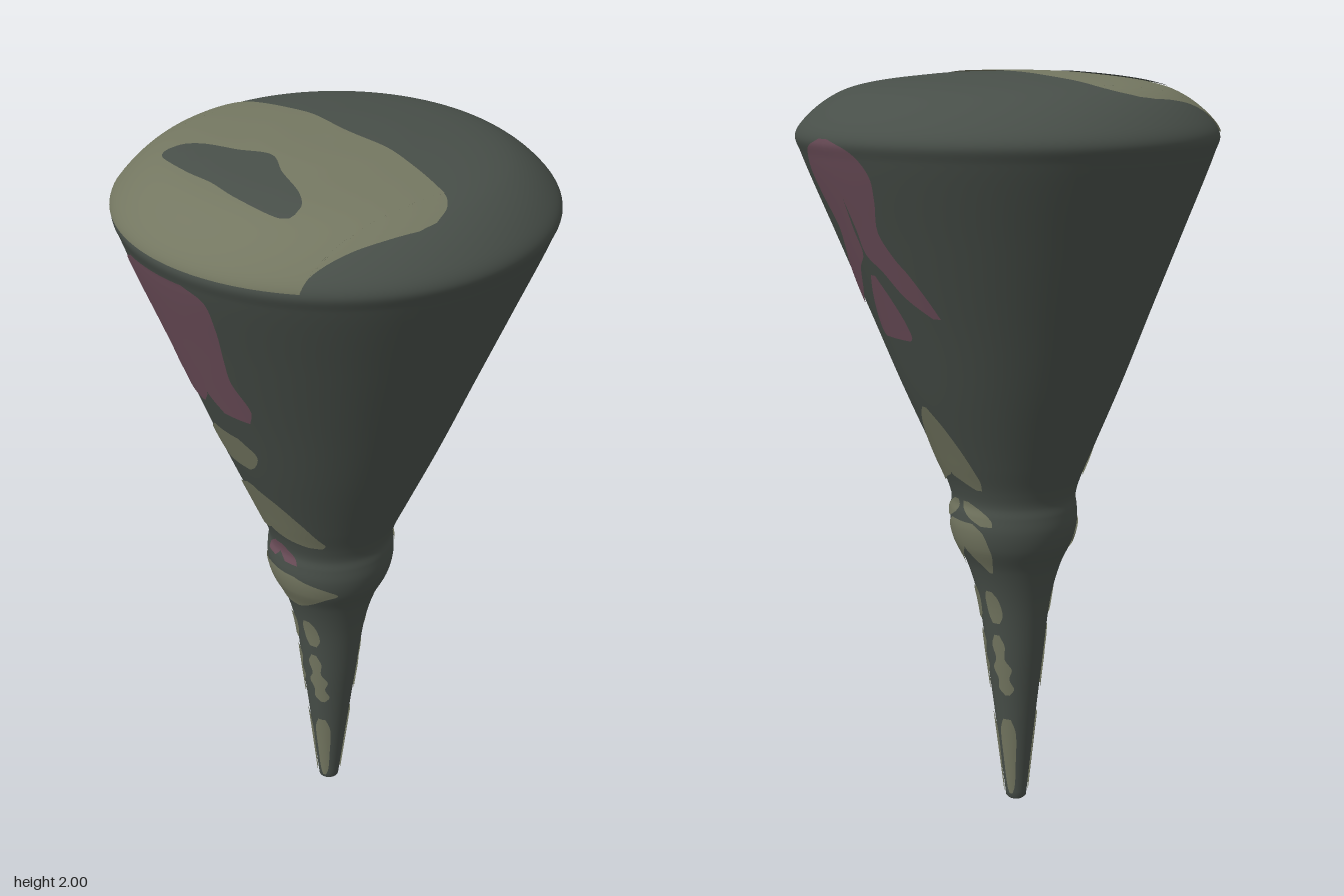
import * as THREE from 'three';

const mat = (name, color, side = THREE.FrontSide) => {
  const m = new THREE.MeshStandardMaterial({ color, side });
  m.name = name;
  return m;
};

// Smoothed profile: radius, height
const spline = (pts) => new THREE.CatmullRomCurve3(pts.map(([x, y, z = 0]) => new THREE.Vector3(x, y, z)));
const profile = spline([
  [0.028, 0.006], [0.05, 0.2], [0.074, 0.4], [0.1, 0.6], [0.128, 0.7], [0.16, 0.77], [0.171, 0.82],
  [0.17, 0.86], [0.167, 0.89], [0.177, 0.93], [0.21, 1.01], [0.29, 1.2], [0.368, 1.4], [0.447, 1.6],
  [0.525, 1.8], [0.538, 1.845], [0.505, 1.893], [0.41, 1.955], [0.19, 1.992], [0, 2],
]).getPoints(200);
const rim = profile.reduce((best, p, i) => (p.x > profile[best].x ? i : best), 0);
const wallPoints = profile.slice(0, rim + 1);
const capPoints = profile.slice(rim).reverse();

function lookup(points, from, to, v) {
  let i = 1;
  while (i < points.length - 1 && points[i][from] < v) i++;
  const a = points[i - 1], b = points[i];
  const t = THREE.MathUtils.clamp((v - a[from]) / (b[from] - a[from]), 0, 1);
  return a[to] + (b[to] - a[to]) * t;
}
const radiusAt = (y) => lookup(wallPoints, 'y', 'x', y);
const capHeight = (r) => lookup(capPoints, 'x', 'y', r);
// The tip leans slightly to one side
const centreAt = (y) => (y < 0.9 ? -0.03 + 0.011 * y : Math.min(0, -0.02 * (1.85 - y) / 0.95));

// Grid skin stretched between two edges; each row is [position, edge, edge]
function skin(rows, place, steps = 40, cols = 24) {
  const pos = [], index = [];
  spline(rows).getPoints(steps).forEach((row, i) => {
    for (let j = 0; j <= cols; j++) {
      pos.push(...place(row, j / cols));
      if (i < steps && j < cols) {
        const a = i * (cols + 1) + j, b = a + cols + 1;
        index.push(a, b, a + 1, b, b + 1, a + 1);
      }
    }
  });
  const g = new THREE.BufferGeometry();
  g.setAttribute('position', new THREE.Float32BufferAttribute(pos, 3));
  g.setIndex(index);
  g.computeVertexNormals();
  return g;
}

// Marking on the cone wall: rows are [height, inner z, outer z]
const wallMark = (rows, side, mirror) => skin(rows, (row, t) => {
  const r = radiusAt(row.x) + 0.004;
  const z = THREE.MathUtils.clamp(row.y + (row.z - row.y) * t, -r, r);
  return [centreAt(row.x) + side * Math.sqrt(r * r - z * z), row.x, z * mirror];
}, 40, 10);

// Marking on the cap: rows are [z, x start, x end], clipped to the rim
const capMark = (rows, lift) => skin(rows, (row, t) => {
  const z = row.x, edge = Math.sqrt(Math.max(0, 0.5375 ** 2 - z * z));
  const x0 = Math.max(row.y, -edge);
  const x = x0 + (row.z - x0) * (1 - Math.cos(t * Math.PI / 2));
  return [x * 1.005, capHeight(Math.hypot(x, z)) + lift, z * 1.005];
}, 100, 48);
const bothWays = (half) => [...half.map(([z, a, b]) => [-z, a, b]), ...half.slice(0, -1).reverse()];

export function createModel() {
  const dark = mat('dark slate green', 0x484f49);
  const darkMark = mat('dark slate green marking', 0x484f49, THREE.DoubleSide);
  const khaki = mat('dull khaki', 0x747761, THREE.DoubleSide);
  const pink = mat('dusky mauve', 0x6f505c, THREE.DoubleSide);
  const model = new THREE.Group();
  model.name = 'taperedCone';
  const add = (name, geometry, material) => {
    const mesh = new THREE.Mesh(geometry, material);
    mesh.name = name;
    model.add(mesh);
  };

  // Body: lathe with closed tip and domed cap
  const outline = [new THREE.Vector2(0, 0), new THREE.Vector2(0.022, 0), ...profile.map((p) => new THREE.Vector2(Math.max(0, p.x), p.y))];
  const body = new THREE.LatheGeometry(outline, 96);
  const p = body.attributes.position;
  for (let i = 0; i < p.count; i++) p.setX(i, p.getX(i) + centreAt(p.getY(i)));
  add('coneBody', body, dark);

  // Cap patch with a dark spot inside
  add('capPatch', capMark(bothWays([
    [0.43, -0.12, -0.07], [0.41, -0.2, -0.025], [0.385, -0.285, 0], [0.362, -0.38, 0.01], [0.35, -0.55, 0.013],
    [0.24, -0.55, 0.03], [0.14, -0.55, 0.04], [0, -0.55, 0.03],
  ]), 0.003), khaki);
  add('capSpot', capMark(bothWays([
    [0.24, -0.325, -0.31], [0.225, -0.34, -0.28], [0.185, -0.352, -0.255], [0.085, -0.363, -0.225], [0, -0.36, -0.19],
  ]), 0.006), darkMark);

  // Wall markings: half outlines, mirrored front to back
  const lower = [
    ['stemSpot', khaki, [[0.64, 0.022, 0.04], [0.62, 0.014, 0.052], [0.57, 0.016, 0.056], [0.545, 0.025, 0.045]]],
    ['stemStreak', khaki, [[0.51, 0.025, 0.04], [0.48, 0.014, 0.05], [0.44, 0.022, 0.046], [0.41, 0.01, 0.058],
      [0.38, 0.022, 0.05], [0.35, 0.02, 0.056], [0.33, 0.035, 0.045]]],
    ['tipStreak', khaki, [[0.255, 0.02, 0.04], [0.22, 0.008, 0.045], [0.12, 0.006, 0.036], [0.04, 0.008, 0.026], [0.02, 0.012, 0.02]]],
  ];
  const sides = {
    left: [1, [
      ['upperMark', pink, [[1.85, 0, 0.02], [1.82, 0, 0.1], [1.77, 0, 0.132], [1.71, 0, 0.12], [1.63, 0.006, 0.09],
        [1.57, 0.006, 0.11], [1.53, 0.05, 0.135], [1.47, 0.095, 0.16], [1.42, 0.155, 0.175]]],
      ['upperMarkDrop', pink, [[1.515, 0, 0.01], [1.46, 0, 0.04], [1.4, 0, 0.062], [1.36, 0, 0.065], [1.35, 0, 0.055]]],
      ['archMark', khaki, [[1.165, 0, 0.01], [1.12, 0, 0.045], [1.05, 0, 0.075], [0.98, 0, 0.09], [0.96, 0.035, 0.09], [0.94, 0.07, 0.085]]],
      ['collarLeaf', khaki, [[0.9, 0.01, 0.03], [0.88, 0.01, 0.07], [0.86, 0.03, 0.095], [0.84, 0.07, 0.1]]],
      ['collarPatch', khaki, [[0.843, 0, 0.045], [0.82, 0, 0.075], [0.77, 0, 0.085], [0.75, 0.015, 0.082], [0.72, 0.04, 0.07], [0.7, 0.055, 0.062]]],
    ]],
    right: [-1, [
      ['upperMark', pink, [[1.81, 0, 0.1], [1.78, 0, 0.15], [1.7, 0, 0.15], [1.6, 0, 0.13], [1.53, 0, 0.12], [1.45, 0, 0.14], [1.4, 0.04, 0.12]]],
      ['crossMark', khaki, [[1.32, 0, 0.05], [1.28, 0, 0.09], [1.23, 0, 0.065], [1.21, 0, 0.04]]],
      ['archMark', khaki, [[1.14, 0, 0.01], [1.1, 0, 0.075], [1.04, 0, 0.115], [0.98, 0, 0.135], [0.96, 0.04, 0.14], [0.945, 0.1, 0.13]]],
      ['collarLeaf', pink, [[0.92, 0, 0.015], [0.89, 0, 0.05], [0.865, 0.02, 0.06]]],
      ['collarPatch', khaki, [[0.83, 0, 0.05], [0.8, 0, 0.125], [0.78, 0, 0.142], [0.76, 0, 0.115], [0.72, 0, 0.06], [0.705, 0, 0.03]]],
    ]],
  };
  for (const [sideName, [side, marks]] of Object.entries(sides))
    for (const [name, material, rows] of [...marks, ...lower])
      for (const [end, mirror] of [['Front', 1], ['Back', -1]])
        add(sideName + name[0].toUpperCase() + name.slice(1) + end, wallMark(rows, side, mirror), material);

  return model;
}
